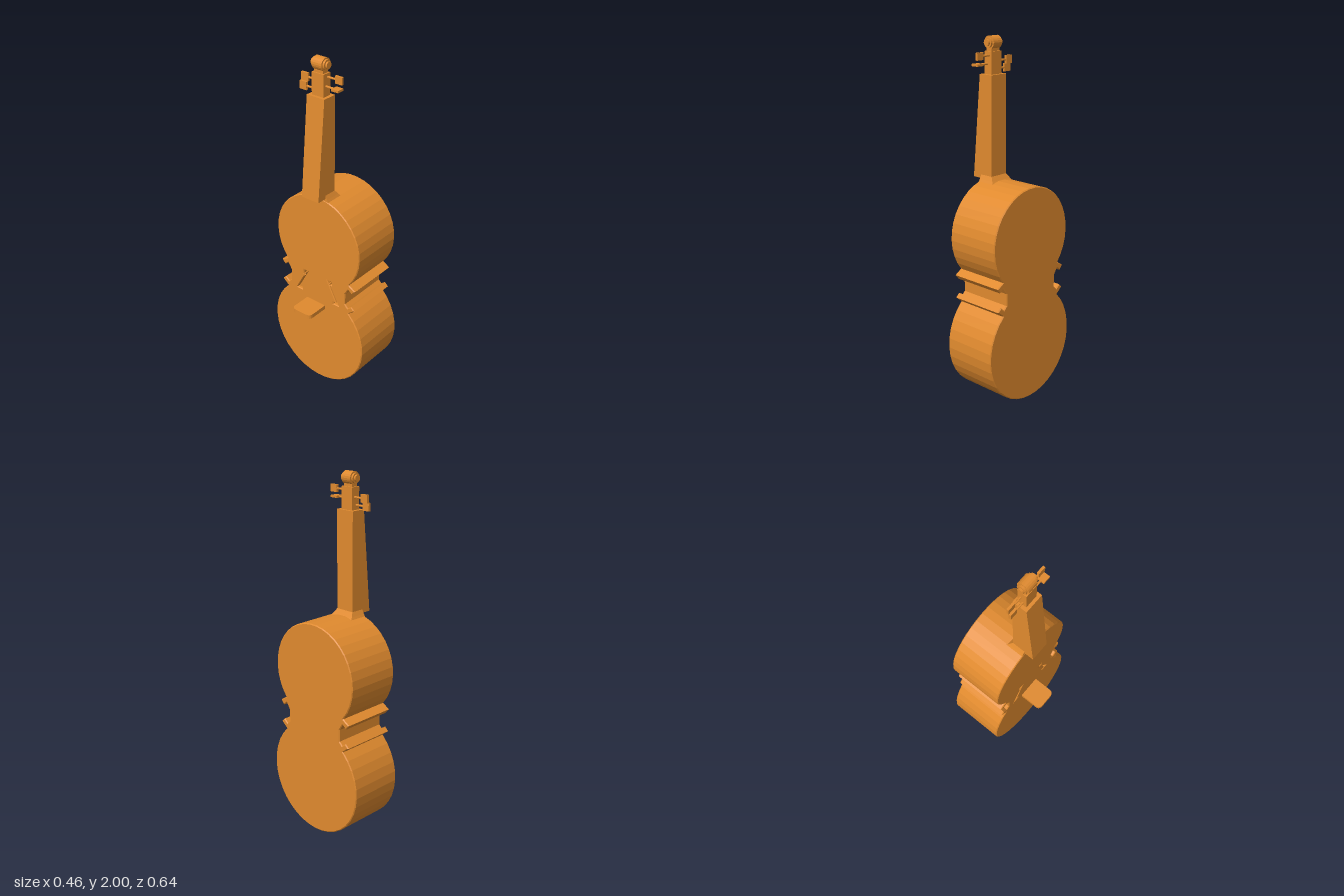
import * as THREE from 'three';

const wood = new THREE.MeshStandardMaterial({ color: 0xe08a2e, flatShading: true });

function add(parent, name, geometry) {
  const mesh = new THREE.Mesh(geometry, wood);
  mesh.name = name;
  parent.add(mesh);
  return mesh;
}

// Box from min/max corners
function box(x0, x1, y0, y1, z0, z1) {
  return new THREE.BoxGeometry(x1 - x0, y1 - y0, z1 - z0)
    .translate((x0 + x1) / 2, (y0 + y1) / 2, (z0 + z1) / 2);
}

// Box whose bottom and top rectangles [x0, x1, halfZ] differ
function taper(y0, y1, bottom, top) {
  const g = new THREE.BoxGeometry(1, 1, 1);
  const p = g.attributes.position;
  for (let i = 0; i < p.count; i++) {
    const high = p.getY(i) > 0;
    const [x0, x1, hz] = high ? top : bottom;
    p.setXYZ(i, p.getX(i) > 0 ? x1 : x0, high ? y1 : y0, p.getZ(i) > 0 ? hz : -hz);
  }
  g.computeVertexNormals();
  return g;
}

// Cylinder lying along z
function drum(r, halfLength, x, y, z = 0, sides = 20) {
  return new THREE.CylinderGeometry(r, r, halfLength * 2, sides)
    .rotateX(Math.PI / 2).translate(x, y, z);
}

function arc(cy, r, from, to, steps) {
  return Array.from({ length: steps + 1 }, (_, i) => {
    const a = THREE.MathUtils.degToRad(from + (to - from) * i / steps);
    return new THREE.Vector2(Math.cos(a) * r, cy + Math.sin(a) * r);
  });
}

// Two round bouts joined by a waist with four corner tabs
function bodyShape() {
  const waist = [[0.265, 0.727], [0.243, 0.7], [0.218, 0.72], [0.196, 0.683],
    [0.196, 0.615], [0.215, 0.596], [0.24, 0.616], [0.262, 0.594]];
  return new THREE.Shape([
    ...arc(0.94, 0.29, -40, 220, 27),
    ...waist.map(([x, y]) => new THREE.Vector2(-x, y)),
    ...arc(0.327, 0.322, 133.5, 406.5, 28),
    ...waist.map(([x, y]) => new THREE.Vector2(x, y)).reverse(),
  ]);
}

// Slanted sound hole with a small hook at each end
function soundHole(side) {
  const pts = [[0.068, 0.722], [0.1, 0.722], [0.1, 0.698], [0.089, 0.698], [0.089, 0.708],
    [0.084, 0.708], [0.152, 0.582], [0.115, 0.582], [0.115, 0.604], [0.126, 0.604],
    [0.126, 0.595], [0.133, 0.595]];
  return new THREE.Path(pts.map(([x, y]) => new THREE.Vector2(side * x, y)));
}

// Extrude a z-y outline along x, bevel included in x0..x1
function slab(shape, x0, x1) {
  const b = 0.005;
  return new THREE.ExtrudeGeometry(shape, {
    depth: x1 - x0 - 2 * b, bevelEnabled: true, bevelThickness: b,
    bevelSize: b, bevelOffset: -b, bevelSegments: 1, curveSegments: 6,
  }).rotateY(Math.PI / 2).translate(x0 + b, 0, 0);
}

export function createModel() {
  const model = new THREE.Group();
  model.name = 'stringInstrument';

  // Body: pierced soundboard in front of a solid core
  const soundboard = bodyShape();
  soundboard.holes.push(soundHole(1), soundHole(-1));
  add(model, 'soundboard', slab(soundboard, -0.095, -0.06));
  add(model, 'body', slab(bodyShape(), -0.07, 0.228));

  // Bridge: flat shelf with rounded outer corners
  const r = 0.03, x0 = -0.23, x1 = -0.09, z0 = -0.077, z1 = 0.055;
  const shelf = new THREE.Shape();
  shelf.moveTo(x1, z0);
  shelf.lineTo(x1, z1);
  shelf.lineTo(x0 + r, z1);
  shelf.quadraticCurveTo(x0, z1, x0, z1 - r);
  shelf.lineTo(x0, z0 + r);
  shelf.quadraticCurveTo(x0, z0, x0 + r, z0);
  const bridge = new THREE.ExtrudeGeometry(shelf, { depth: 0.024, bevelEnabled: false, curveSegments: 5 });
  add(model, 'bridge', bridge.rotateX(Math.PI / 2).translate(0, 0.543, 0));

  // Neck with flared heel
  add(model, 'neck', taper(1.235, 1.8, [-0.15, -0.015, 0.057], [-0.1, -0.015, 0.057]));
  add(model, 'heelLower', taper(1.21, 1.232, [-0.093, 0.02, 0.082], [-0.093, 0.002, 0.069]));
  add(model, 'heelUpper', taper(1.232, 1.255, [-0.093, 0.002, 0.069], [-0.093, -0.015, 0.057]));

  // Peg box and scroll
  add(model, 'pegBox', box(-0.083, -0.03, 1.8, 1.92, -0.038, 0.038));
  add(model, 'scrollNeck', box(-0.075, -0.038, 1.915, 1.95, -0.03, 0.03));
  [[0.035, 0.031], [0.027, 0.042], [0.018, 0.052]].forEach(([radius, half], i) =>
    add(model, 'scroll' + (i + 1), drum(radius, half, -0.056, 1.965)));

  // Tuning pegs: [side, y, head x range, head half height]
  const pegs = [
    [1, 1.9, -0.055, -0.042, 0.02],
    [1, 1.855, -0.085, -0.042, 0.006],
    [-1, 1.868, -0.055, -0.042, 0.022],
    [-1, 1.825, -0.068, -0.055, 0.022],
  ];
  for (const [side, y, hx0, hx1, h] of pegs) {
    const peg = new THREE.Group();
    peg.name = 'tuningPeg';
    add(peg, 'pegShaft', drum(0.006, 0.032, (hx0 + hx1) / 2, y, side * 0.062, 8));
    const near = side * 0.087, far = side * 0.132;
    add(peg, 'pegHead', box(hx0, hx1, y - h, y + h, Math.min(near, far), Math.max(near, far)));
    model.add(peg);
  }
  return model;
}
